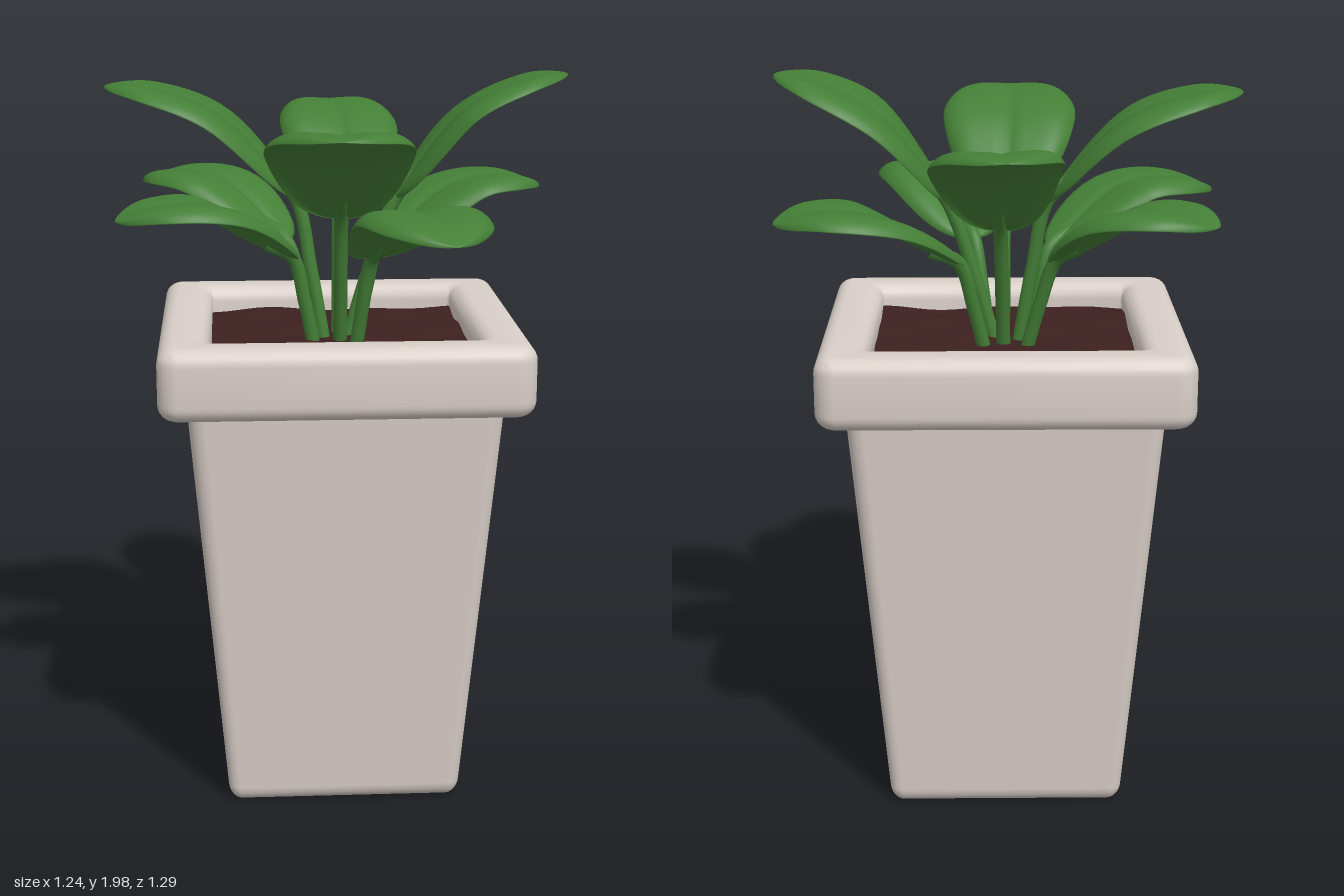
import * as THREE from 'three';
import { mergeVertices, toCreasedNormals } from 'three/addons/utils/BufferGeometryUtils.js';
import { RoundedBoxGeometry } from 'three/addons/geometries/RoundedBoxGeometry.js';

const V = (x, y, z) => new THREE.Vector3(x, y, z);

// Rounded square outline, half-size h and corner radius r
function roundedSquare(path, h, r) {
  path.moveTo(h - r, -h);
  path.absarc(h - r, -h + r, r, -Math.PI / 2, 0);
  path.absarc(h - r, h - r, r, 0, Math.PI / 2);
  path.absarc(-h + r, h - r, r, Math.PI / 2, Math.PI);
  path.absarc(-h + r, -h + r, r, Math.PI, Math.PI * 1.5);
  path.closePath();
  return path;
}

// Weld a geometry and give it smooth normals
function smooth(geometry) {
  geometry.deleteAttribute('normal');
  geometry.deleteAttribute('uv');
  geometry.clearGroups();
  const welded = mergeVertices(geometry, 1e-4);
  welded.computeVertexNormals();
  return welded;
}

// Plump leaf blade, edges curled down and midrib grooved, lofted along its curve
function leafGeometry(curve, halfWidth) {
  const rows = 32, cols = 64, positions = [], index = [];
  const up = V(0, 1, 0);
  for (let i = 0; i <= rows; i++) {
    const t = (1 - Math.cos((Math.PI * i) / rows)) / 2;
    const p = curve.getPoint(t), tangent = curve.getTangent(t);
    const side = tangent.clone().cross(up).normalize();
    const normal = side.clone().cross(tangent);
    const k = Math.pow(Math.max(Math.sin(Math.PI * Math.pow(t, 0.8)), 0), 0.55);
    for (let j = 0; j < cols; j++) {
      const a = (j / cols) * Math.PI * 2, c = Math.cos(a), s = Math.sin(a);
      const groove = s > 0 ? 0.016 * (1 - t) * Math.exp(-((c / 0.1) ** 2)) : 0;
      const lift = k * (0.02 * s + 0.025 * c * c - 0.038 * c ** 6 - groove);
      const q = p.clone().addScaledVector(side, halfWidth * k * c).addScaledVector(normal, lift);
      positions.push(q.x, q.y, q.z);
    }
  }
  for (let i = 0; i < rows; i++) {
    for (let j = 0; j < cols; j++) {
      const n = (j + 1) % cols;
      const a = i * cols + j, b = a + cols, c = (i + 1) * cols + n, d = i * cols + n;
      index.push(a, b, c, a, c, d);
    }
  }
  const g = new THREE.BufferGeometry();
  g.setAttribute('position', new THREE.Float32BufferAttribute(positions, 3));
  g.setIndex(index);
  g.computeVertexNormals();
  return g;
}

export function createModel() {
  const model = new THREE.Group();
  model.name = 'pottedPlant';
  const material = (name, color) => new THREE.MeshStandardMaterial({ name, color });
  const ceramic = material('warm grey ceramic', 0xdacfc9);
  const earth = material('dark brown soil', 0x3d2020);
  const green = material('leaf green', 0x447f36);
  const add = (parent, name, geometry, mat) => {
    const mesh = new THREE.Mesh(geometry, mat);
    mesh.name = name;
    parent.add(mesh);
  };

  // Pot: tapered body and a thick rounded rim
  const pot = new THREE.Group();
  pot.name = 'pot';
  pot.position.set(0.008, 0, -0.017);
  model.add(pot);
  const body = new RoundedBoxGeometry(0.83, 1.2, 0.83, 5, 0.045);
  body.translate(0, 0.605, 0);
  const bp = body.attributes.position;
  for (let i = 0; i < bp.count; i++) {
    const s = 0.765 + 0.235 * bp.getY(i) / 1.16;
    bp.setX(i, bp.getX(i) * s);
    bp.setZ(i, bp.getZ(i) * s);
  }
  add(pot, 'potBody', smooth(body), ceramic);

  const bevel = 0.042;
  const outline = roundedSquare(new THREE.Shape(), 0.488 - bevel, 0.015);
  outline.holes.push(roundedSquare(new THREE.Path(), 0.35 + bevel, 0.05));
  const rim = new THREE.ExtrudeGeometry(outline, {
    depth: 0.19 - 2 * bevel, bevelThickness: bevel, bevelSize: bevel, bevelSegments: 6, curveSegments: 8,
  });
  rim.rotateX(-Math.PI / 2);
  rim.translate(0, 1.142 + bevel, 0);
  add(pot, 'potRim', toCreasedNormals(rim, 0.7), ceramic);

  // Soil: a slightly lumpy bed inside the rim
  const soil = new THREE.PlaneGeometry(0.74, 0.74, 24, 24);
  soil.rotateX(-Math.PI / 2);
  const sp = soil.attributes.position;
  for (let i = 0; i < sp.count; i++) {
    const x = sp.getX(i), z = sp.getZ(i);
    sp.setY(i, 1.265 + 0.008 * Math.sin(17 * x + 5 * z) * Math.cos(21 * z - 4 * x));
  }
  soil.computeVertexNormals();
  add(pot, 'soil', soil, earth);

  // Leaves: stem foot [x, z], then blade start, middle and tip, half width
  const leaves = [
    ['upperRight', [0.03, -0.005], [0.165, 1.65, -0.005], [0.35, 1.87, 0], [0.62, 1.98, 0.035], 0.195],
    ['upperLeft', [-0.03, -0.01], [-0.11, 1.65, -0.03], [-0.32, 1.86, -0.05], [-0.62, 1.945, -0.07], 0.2],
    ['upperFront', [0.01, 0.04], [0.005, 1.62, 0.17], [-0.01, 1.81, 0.36], [-0.02, 1.875, 0.645], 0.19],
    ['upperBack', [0.01, -0.06], [0.02, 1.6, -0.19], [0.035, 1.79, -0.37], [0.01, 1.85, -0.645], 0.17],
    ['lowerBackRight', [0.06, -0.08], [0.13, 1.5, -0.13], [0.35, 1.64, -0.25], [0.6, 1.64, -0.31], 0.175],
    ['lowerBackLeft', [-0.05, -0.08], [-0.13, 1.51, -0.14], [-0.3, 1.65, -0.28], [-0.52, 1.65, -0.42], 0.165],
    ['lowerFrontLeft', [-0.06, 0.05], [-0.12, 1.5, 0.08], [-0.33, 1.645, 0.2], [-0.58, 1.63, 0.27], 0.165],
    ['lowerFrontRight', [0.05, 0.08], [0.09, 1.51, 0.15], [0.18, 1.65, 0.36], [0.26, 1.62, 0.63], 0.17],
  ];
  for (const [name, foot, start, middle, tip, halfWidth] of leaves) {
    const leaf = new THREE.Group();
    leaf.name = name + 'Leaf';
    model.add(leaf);

    // Blade arches over just before its tip
    const arch = V(...middle).lerp(V(...tip), 0.6);
    arch.y += 0.018;
    const curve = new THREE.CatmullRomCurve3([V(...start), V(...middle), arch, V(...tip)]);
    add(leaf, 'blade', leafGeometry(curve, halfWidth), green);

    // Stem runs up from the soil and ends under the base of the blade
    const end = curve.getPoint(0.12);
    end.y -= 0.012;
    const knee = V((foot[0] * 1.2 + start[0]) / 2.2, (1.25 + start[1]) / 2, (foot[1] * 1.2 + start[2]) / 2.2);
    const path = new THREE.CatmullRomCurve3([V(foot[0], 1.24, foot[1]), knee, V(...start), end]);
    add(leaf, 'stem', new THREE.TubeGeometry(path, 24, 0.019, 10), green);
  }
  return model;
}
